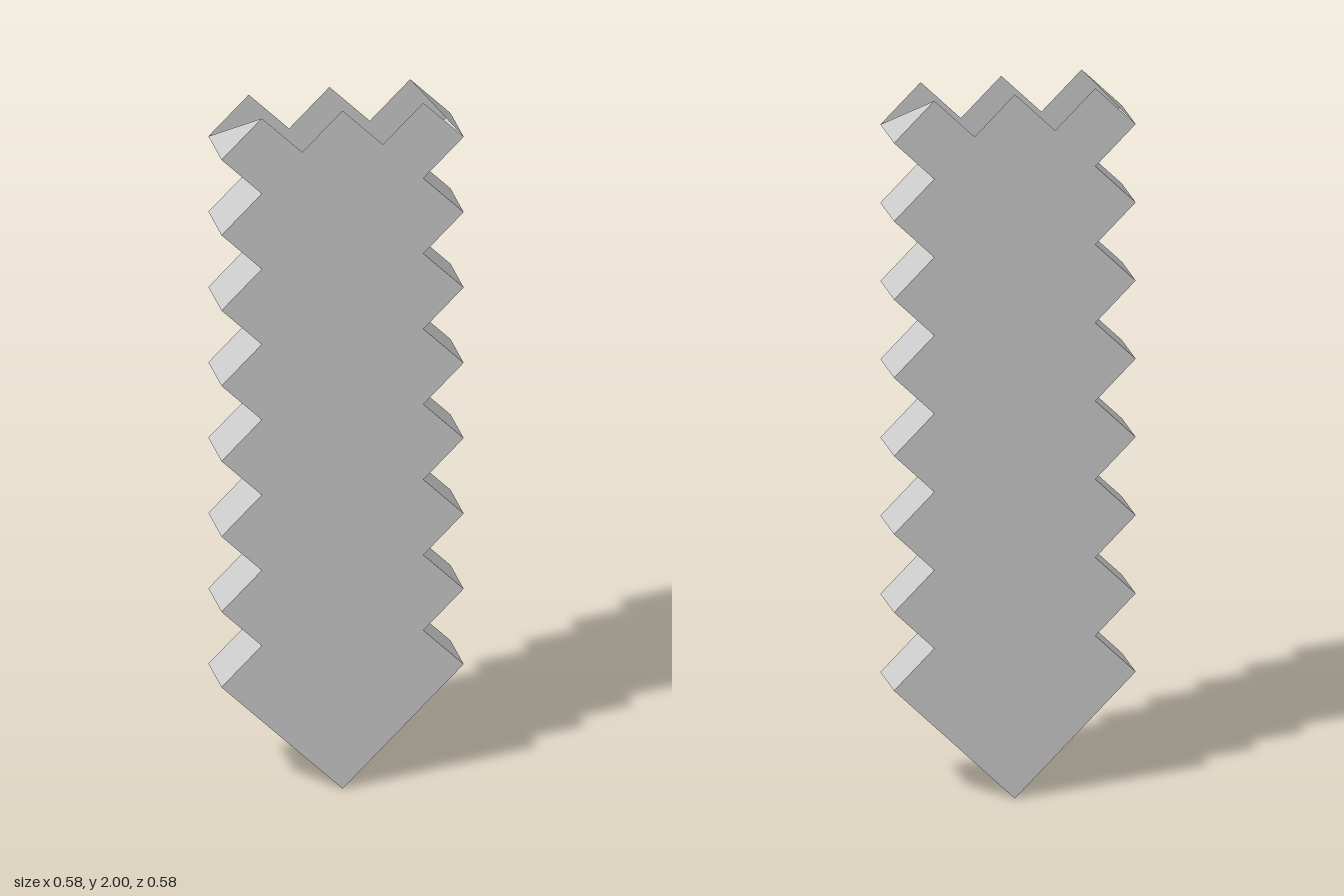
import * as THREE from 'three';

const U = 1 / 9;             // outline grid unit
const H = Math.SQRT1_2 * U;  // half thickness

export function createModel() {
  const group = new THREE.Group();
  group.name = 'zigzagSlab';
  const material = new THREE.MeshStandardMaterial({
    color: 0xcccccc, flatShading: true, side: THREE.DoubleSide,
  });

  // Right edge from the bottom tip up through the teeth
  const edge = [[0, 0]];
  for (let y = 3; y <= 17; y++) edge.push([y % 2 ? 3 : 2, y]);

  // Full outline: right edge, zigzag top, mirrored left edge
  const top = [[2, 18], [1, 17], [0, 18], [-1, 17], [-2, 18]];
  const left = edge.slice(1).reverse().map(([x, y]) => [-x, y]);
  const outline = [...edge, ...top, ...left].map(([x, y]) => new THREE.Vector2(x * U, y * U));
  const faceGeometry = new THREE.ShapeGeometry(new THREE.Shape(outline));
  faceGeometry.translate(0, 0, H);

  // Toothed side wall, closed at the top by a single corner triangle
  const positions = [];
  const add = ([x, y], z) => positions.push(x * U, y * U, z);
  for (let i = 0; i < edge.length - 1; i++) {
    const a = edge[i], b = edge[i + 1];
    add(a, H); add(a, -H); add(b, -H);
    add(a, H); add(b, -H); add(b, H);
  }
  add([3, 17], H); add([3, 17], -H); add([2, 18], -H);
  const wallGeometry = new THREE.BufferGeometry();
  wallGeometry.setAttribute('position', new THREE.Float32BufferAttribute(positions, 3));
  wallGeometry.computeVertexNormals();

  // Two identical halves, half a turn apart; the top stays open
  ['front', 'back'].forEach((name, i) => {
    const half = new THREE.Group();
    half.name = name + 'Half';
    const face = new THREE.Mesh(faceGeometry, material);
    face.name = name + 'Face';
    const wall = new THREE.Mesh(wallGeometry, material);
    wall.name = i ? 'leftToothedWall' : 'rightToothedWall';
    half.add(face, wall);
    half.rotation.y = Math.PI / 4 + i * Math.PI;
    group.add(half);
  });
  return group;
}
